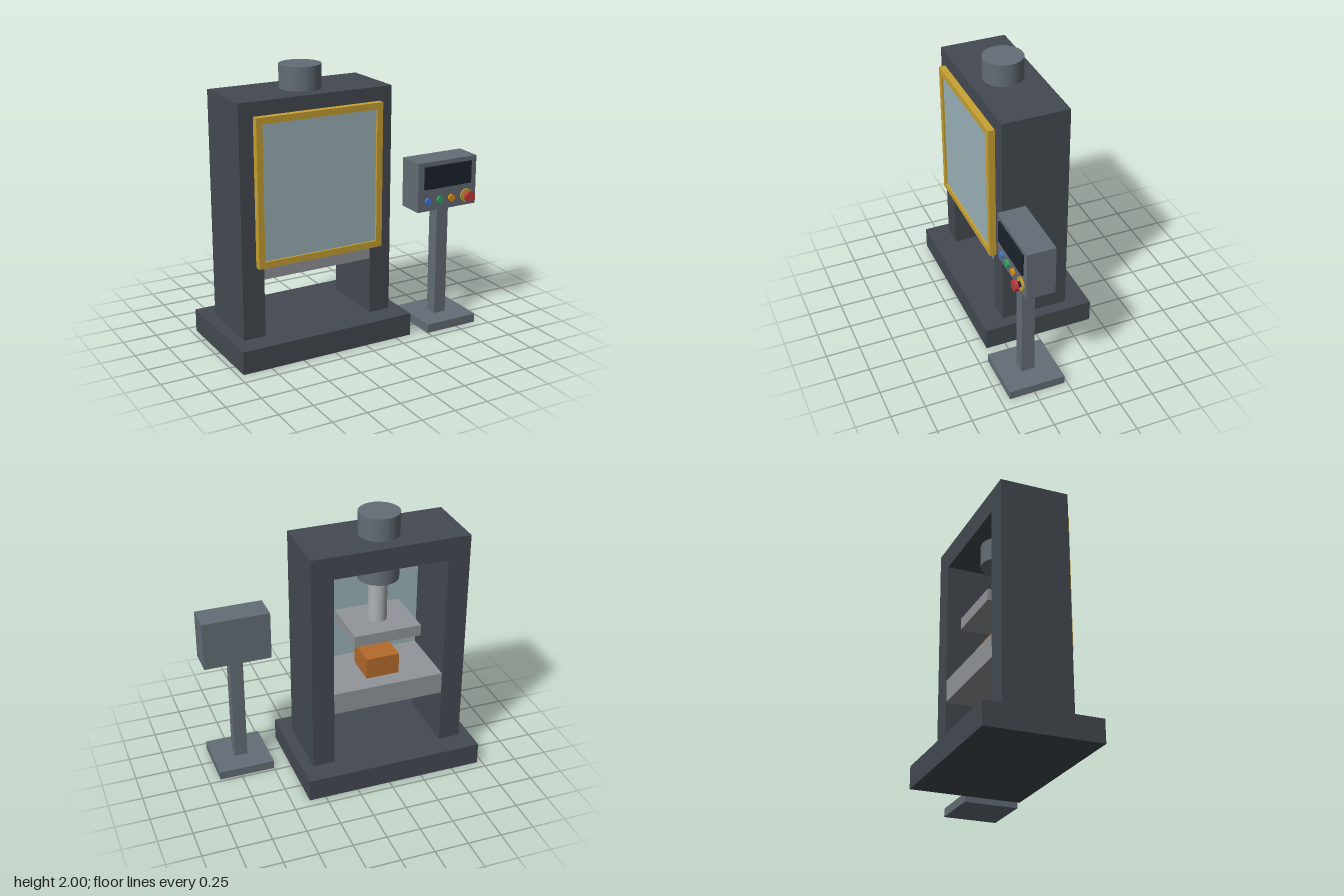
import * as THREE from 'three';

const mat = (color) => new THREE.MeshStandardMaterial({ color });
const frameMat = mat(0x444a52), steel = mat(0x646d76), plateMat = mat(0x92969a), rodMat = mat(0xaeb2b6);
const yellow = mat(0xc8a232), glassMat = mat(0x9bb3bb), dark = mat(0x1b232c), red = mat(0xc03a3a);

// Box given by its extents on each axis
function box(parent, name, material, [x0, x1], [y0, y1], [z0, z1]) {
  const mesh = new THREE.Mesh(new THREE.BoxGeometry(x1 - x0, y1 - y0, z1 - z0), material);
  mesh.position.set((x0 + x1) / 2, (y0 + y1) / 2, (z0 + z1) / 2);
  mesh.name = name;
  parent.add(mesh);
}

// Upright cylinder between two heights
function post(parent, name, material, r, x, z, y0, y1) {
  const mesh = new THREE.Mesh(new THREE.CylinderGeometry(r, r, y1 - y0, 48), material);
  mesh.position.set(x, (y0 + y1) / 2, z);
  mesh.name = name;
  parent.add(mesh);
}

// Disc or stem facing +z between two depths
function knob(parent, name, material, r, x, y, z0, z1, rBack = r) {
  const mesh = new THREE.Mesh(new THREE.CylinderGeometry(r, rBack, z1 - z0, 32), material);
  mesh.rotation.x = Math.PI / 2;
  mesh.position.set(x, y, (z0 + z1) / 2);
  mesh.name = name;
  parent.add(mesh);
}

function createPress() {
  const g = new THREE.Group();
  g.name = 'press';
  const cx = -0.295, cz = -0.021;
  const around = (c, size) => [c - size / 2, c + size / 2];

  // Heavy frame
  box(g, 'base', frameMat, around(cx, 1.333), [0, 0.167], around(cz, 0.833));
  for (const side of [-1, 1])
    box(g, side < 0 ? 'rightColumn' : 'leftColumn', frameMat,
      around(cx + side * 0.5, 0.163), [0.167, 1.667], around(cz, 0.5));
  box(g, 'crossBeam', frameMat, around(cx, 1.163), [1.667, 1.833], around(cz, 0.5));

  // Hydraulic ram
  post(g, 'ramCylinder', steel, 0.148, cx, cz, 1.5, 2);
  post(g, 'ramRod', rodMat, 0.068, cx, cz, 1.167, 1.5);
  box(g, 'ramPlate', plateMat, around(cx, 0.5), [1.083, 1.167], around(cz, 0.417));

  // Table and workpiece
  box(g, 'table', plateMat, around(cx, 0.833), [0.585, 0.75], around(cz, 0.495));
  box(g, 'workpiece', mat(0xb56a2c), around(cx, 0.25), [0.75, 0.908], around(cz, 0.25));
  return g;
}

function createGuard() {
  const g = new THREE.Group();
  g.name = 'safetyGuard';
  const z = [0.236, 0.285];
  box(g, 'guardRightStile', yellow, [-0.775, -0.73], [0.688, 1.735], z);
  box(g, 'guardLeftStile', yellow, [0.14, 0.186], [0.688, 1.735], z);
  box(g, 'guardBottomRail', yellow, [-0.73, 0.14], [0.688, 0.734], z);
  box(g, 'guardTopRail', yellow, [-0.73, 0.14], [1.689, 1.735], z);
  box(g, 'guardWindow', glassMat, [-0.73, 0.14], [0.734, 1.689], [0.252, 0.27]);
  return g;
}

function createConsole() {
  const g = new THREE.Group();
  g.name = 'controlConsole';
  box(g, 'consoleFoot', steel, [0.499, 0.914], [0, 0.065], [0.021, 0.436]);
  box(g, 'consolePost', steel, [0.658, 0.754], [0.065, 0.903], [0.183, 0.28]);
  box(g, 'consoleBox', steel, [0.457, 0.955], [0.903, 1.267], [0.127, 0.333]);
  box(g, 'screen', dark, [0.506, 0.905], [1.069, 1.235], [0.333, 0.348]);

  // Push buttons
  const y = 0.977;
  [0x3f78d6, 0x2fa866, 0xdd9018].forEach((color, i) =>
    knob(g, 'button' + (i + 1), mat(color), 0.026, 0.54 + i * 0.1, y, 0.333, 0.35));

  // Emergency stop
  knob(g, 'stopCollar', yellow, 0.05, 0.872, y, 0.333, 0.344);
  knob(g, 'stopStem', dark, 0.02, 0.872, y, 0.344, 0.37);
  knob(g, 'stopKnob', red, 0.04, 0.872, y, 0.368, 0.394);
  return g;
}

export function createModel() {
  const model = new THREE.Group();
  model.name = 'hydraulicPress';
  model.add(createPress(), createGuard(), createConsole());
  return model;
}
